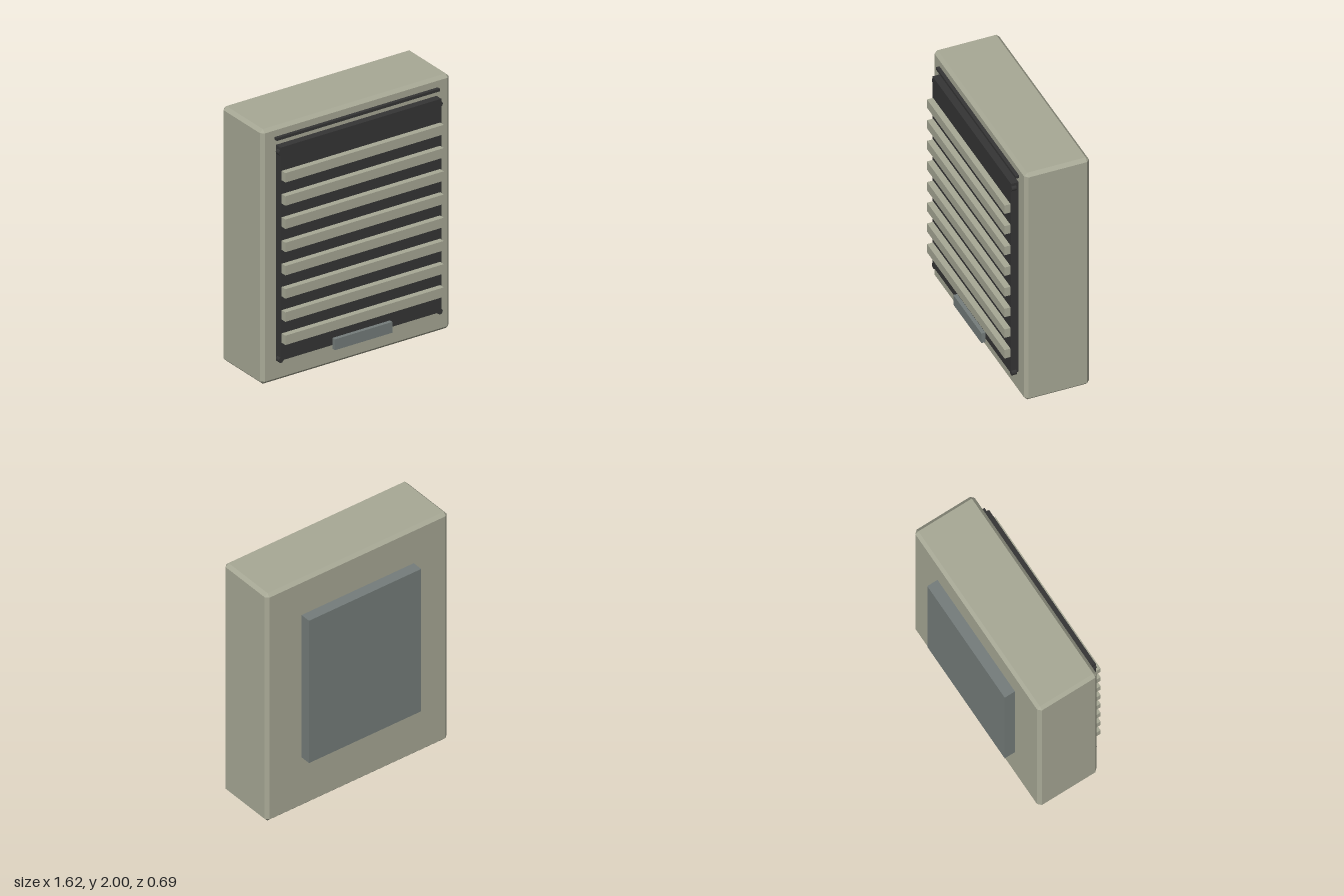
import * as THREE from 'three';
import { ConvexGeometry } from 'three/addons/geometries/ConvexGeometry.js';

// Box with flat chamfers on every edge and corner
function chamferedBox(w, h, d, c) {
  const points = [];
  for (const x of [-1, 1]) for (const y of [-1, 1]) for (const z of [-1, 1]) {
    const [a, b, e] = [x * w / 2, y * h / 2, z * d / 2];
    points.push(
      new THREE.Vector3(a, b - y * c, e - z * c),
      new THREE.Vector3(a - x * c, b, e - z * c),
      new THREE.Vector3(a - x * c, b - y * c, e));
  }
  return new ConvexGeometry(points);
}

export function createModel() {
  const group = new THREE.Group();
  const material = (name, color) => {
    const m = new THREE.MeshStandardMaterial({ color });
    m.name = name;
    return m;
  };
  const casing = material('casing beige', 0xa8a996);
  const dark = material('dark charcoal', 0x353535);
  const steel = material('steel grey', 0x757d7b);

  const add = (name, geometry, mat, x, y, z) => {
    const mesh = new THREE.Mesh(geometry, mat);
    mesh.name = name;
    mesh.position.set(x, y, z);
    group.add(mesh);
  };
  // Box given by its half width and its y and z ranges
  const slab = (name, mat, halfW, y0, y1, z0, z1) =>
    add(name, new THREE.BoxGeometry(halfW * 2, y1 - y0, z1 - z0), mat,
      0, (y0 + y1) / 2, (z0 + z1) / 2);

  // Main casing
  add('casing', chamferedBox(1.62, 2, 0.5, 0.025), casing, 0, 1, -0.009);

  // Front: recess panel, upper slot and lower handle
  slab('grillePanel', dark, 0.69, 0.187, 1.86, 0.23, 0.299);
  slab('topSlot', dark, 0.7, 1.903, 1.924, 0.23, 0.268);
  slab('handle', steel, 0.247, 0.16, 0.245, 0.303, 0.333);

  // Horizontal slats
  for (let i = 0; i < 8; i++) {
    const y = 0.363 + i * 0.1823;
    slab('slat', casing, 0.68, y - 0.037, y + 0.037, 0.299, 0.345);
  }

  // Corner screws
  const screw = new THREE.CylinderGeometry(0.022, 0.022, 0.036, 12).rotateX(Math.PI / 2);
  for (const x of [-0.683, 0.683])
    for (const y of [0.19, 1.817]) add('screw', screw, dark, x, y, 0.279);

  // Rear plate
  slab('rearPlate', steel, 0.5, 0.44, 1.692, -0.345, -0.25);

  return group;
}
